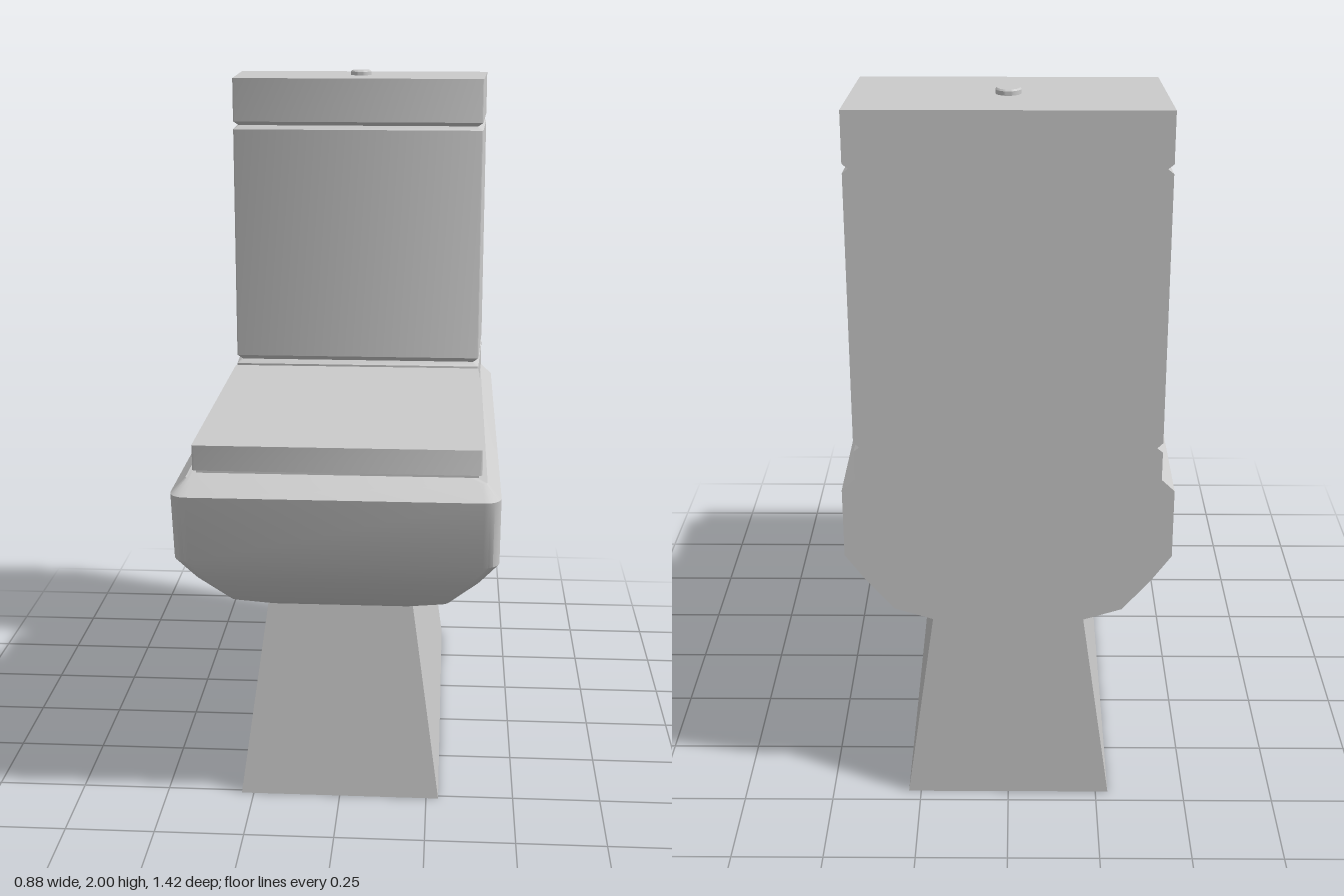
import * as THREE from 'three';
import { toCreasedNormals } from 'three/addons/utils/BufferGeometryUtils.js';

const BACK = -0.71;

// Level outline: straight back edge, rounded front corners, optional taper to the front.
function outline({ y, w, front, back = BACK, wf = w, r = 0, rb = 0 }) {
  const pts = [];
  const corner = (cx, cz, rad, start) => {
    const n = rad > 0 ? 5 : 0;
    for (let i = 0; i <= n; i++) {
      const a = start - (n ? (i / n) * Math.PI / 2 : 0);
      pts.push(new THREE.Vector3(cx + rad * Math.cos(a), y, cz + rad * Math.sin(a)));
    }
  };
  corner(-w + rb, back + rb, rb, 1.5 * Math.PI);
  corner(-wf + r, front - r, r, Math.PI);
  corner(wf - r, front - r, r, Math.PI / 2);
  corner(w - rb, back + rb, rb, 0);
  return pts;
}

// Closed solid through a stack of levels, bottom to top.
function loft(levels, crease = 0.6) {
  const rings = levels.map(outline);
  const n = rings[0].length;
  const pos = [];
  const tri = (...v) => v.forEach(p => pos.push(p.x, p.y, p.z));
  for (let k = 0; k < rings.length - 1; k++) {
    for (let i = 0; i < n; i++) {
      const j = (i + 1) % n;
      const lo = rings[k], hi = rings[k + 1];
      tri(lo[i], lo[j], hi[j]);
      tri(lo[i], hi[j], hi[i]);
    }
  }
  const bottom = rings[0], top = rings[rings.length - 1];
  for (let i = 1; i < n - 1; i++) {
    tri(bottom[0], bottom[i + 1], bottom[i]);
    tri(top[0], top[i], top[i + 1]);
  }
  const geo = new THREE.BufferGeometry();
  geo.setAttribute('position', new THREE.Float32BufferAttribute(pos, 3));
  return toCreasedNormals(geo, crease);
}

export function createModel() {
  const model = new THREE.Group();
  const grey = new THREE.MeshStandardMaterial({ color: 0xcccccc });
  const add = (name, geo) => {
    const mesh = new THREE.Mesh(geo, grey);
    mesh.name = name;
    model.add(mesh);
    return mesh;
  };

  // Tapered foot
  add('pedestal', loft([
    { y: 0, w: 0.285, front: 0.515 },
    { y: 0.575, w: 0.205, front: 0.465 },
  ]));

  // Bowl flaring up to a bevelled rim
  add('bowl', loft([
    [0.57, 0.20, 0.46, 0.02],
    [0.605, 0.31, 0.525, 0.03],
    [0.70, 0.39, 0.62, 0.04],
    [0.77, 0.44, 0.67, 0.045],
    [0.965, 0.44, 0.71, 0.045],
    [1.0, 0.403, 0.655, 0.02],
  ].map(([y, w, front, r]) => ({ y, w, front, r }))));

  // Closed lid on a thin recessed seat pad
  add('seatPad', loft([0.995, 1.015].map(y => ({ y, w: 0.38, front: 0.6, back: -0.275 }))));
  add('seatLid', loft([1.01, 1.08].map(y => (
    { y, w: 0.39, front: 0.613, back: -0.303, r: 0.008, rb: 0.008 }))));

  // Cistern blocks, chamfered where they meet so grooves run around the sides and front
  const level = (y, inset = 0) => (
    { y, w: 0.405 - inset, wf: 0.39 - inset, front: -0.337 - inset, r: 0.006 });
  const groove = 0.015;
  add('cisternBase', loft([level(0.99), level(1.078), level(1.09, groove)]));
  add('cisternTank', loft([
    level(1.09, groove), level(1.105), level(1.828), level(1.84, groove),
  ]));
  add('cisternLid', loft([level(1.84, groove), level(1.852), level(1.985)]));

  // Flush button
  const button = add('flushButton', toCreasedNormals(
    new THREE.LatheGeometry([
      [0, 0], [0.033, 0], [0.033, 0.016], [0.029, 0.02], [0, 0.02],
    ].map(p => new THREE.Vector2(...p)), 32), 0.6));
  button.position.set(0, 1.98, -0.525);

  return model;
}
